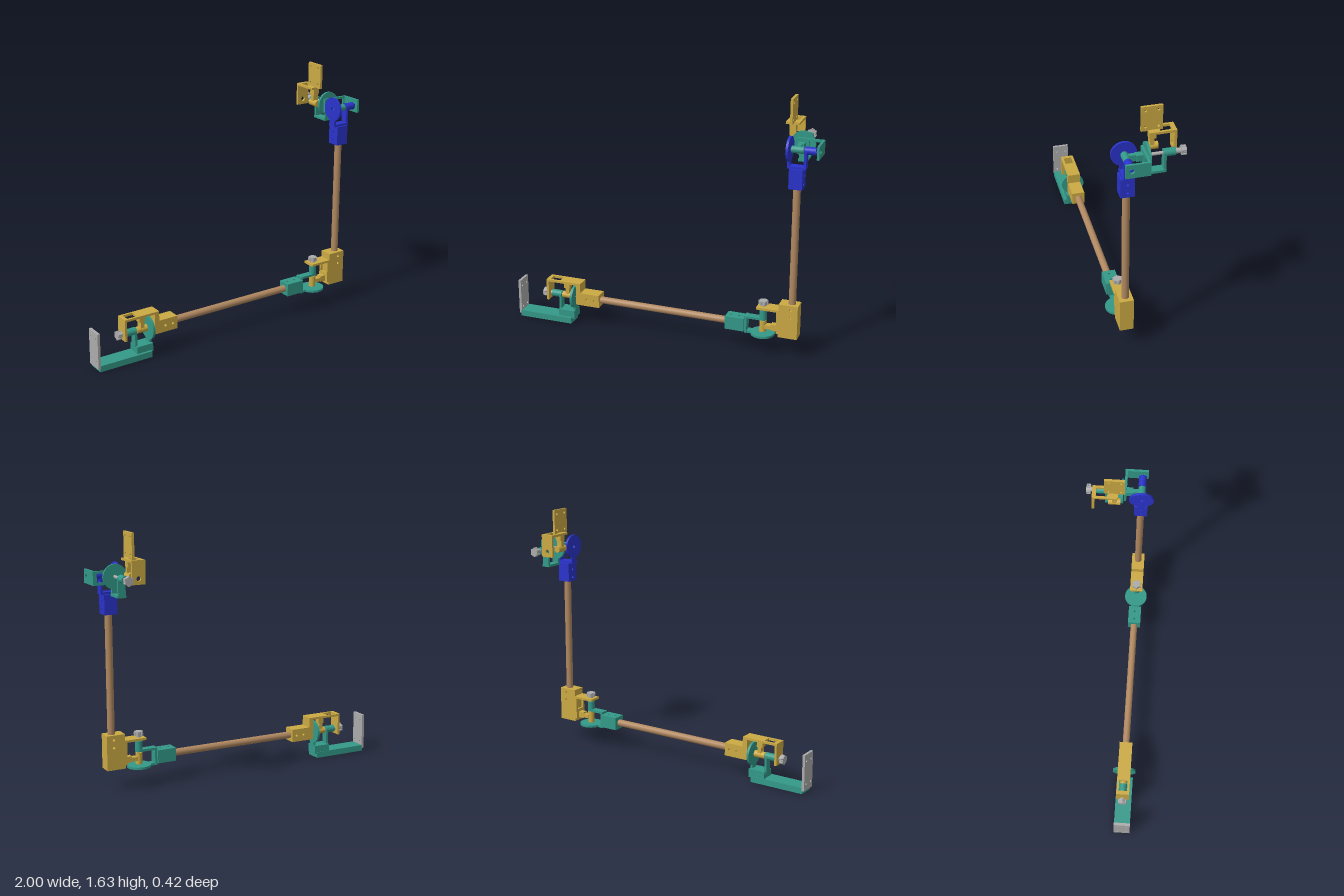
import * as THREE from 'three';

const mat = (name, color) => {
  const m = new THREE.MeshStandardMaterial({ color });
  m.name = name;
  return m;
};

export function createModel() {
  const yellow = mat('yellow', 0xccaa44), teal = mat('teal', 0x339988), blue = mat('blue', 0x2a33cc);
  const grey = mat('grey', 0xacacac), wood = mat('wood', 0xb08860);
  const model = new THREE.Group();
  model.name = 'jointedArm';

  const add = (parent, name, geo, material) => {
    const m = new THREE.Mesh(geo, material);
    m.name = name;
    parent.add(m);
    return m;
  };
  // Box from its minimum and maximum corners
  const box = (parent, name, material, [x0, y0, z0], [x1, y1, z1]) =>
    add(parent, name, new THREE.BoxGeometry(x1 - x0, y1 - y0, z1 - z0)
      .translate((x0 + x1) / 2, (y0 + y1) / 2, (z0 + z1) / 2), material);
  const cyl = (parent, name, material, r, y0, y1, sides = 32) =>
    add(parent, name, new THREE.CylinderGeometry(r, r, y1 - y0, sides).translate(0, (y0 + y1) / 2, 0), material);

  const rect = (x0, y0, x1, y1) => new THREE.Shape([[x0, y0], [x1, y0], [x1, y1], [x0, y1]].map(p => new THREE.Vector2(...p)));
  const drill = (shape, holes, r) => {
    holes.forEach(([x, y]) => shape.holes.push(new THREE.Path().absarc(x, y, r, 0, Math.PI * 2, true)));
    return shape;
  };
  const extrude = (shape, depth) => new THREE.ExtrudeGeometry(shape, { depth, bevelEnabled: false, curveSegments: 24 });
  // Flat outline in local x/z, extruded along the local joint axis y
  const slab = (parent, name, material, shape, y0, y1) =>
    add(parent, name, extrude(shape, y1 - y0).rotateX(-Math.PI / 2).translate(0, y0, 0), material);
  // Round end on the axis with a straight neck reaching x = 0.115
  const paddle = r => {
    const a = Math.asin(Math.min(1, 0.024 / r));
    const s = new THREE.Shape().absarc(0, 0, r, a, Math.PI * 2 - a, false);
    s.lineTo(0.115, -0.024);
    s.lineTo(0.115, 0.024);
    return s;
  };

  // Group whose x points along the arm and whose y is the joint axis
  const frame = (name, origin, dir, axis) => {
    const g = new THREE.Group(), x = new THREE.Vector3(...dir), y = new THREE.Vector3(...axis);
    g.name = name;
    g.applyMatrix4(new THREE.Matrix4().makeBasis(x, y, x.clone().cross(y)).setPosition(...origin));
    model.add(g);
    return g;
  };

  // Forked half of a joint: large disc, rounded ear and clamp tube
  const fork = (name, material, origin, dir, axis) => {
    const g = frame(name, origin, dir, axis);
    slab(g, 'jointDisc', material, drill(paddle(0.077), [[0, 0]], 0.012), 0, 0.015);
    slab(g, 'forkEar', material, drill(paddle(0.0245), [[0, 0]], 0.012), 0.1, 0.115);
    box(g, 'forkBack', material, [0.1, 0, -0.028], [0.115, 0.115, 0.028]);
    const ring = drill(new THREE.Shape().absarc(0, 0, 0.024, 0, Math.PI * 2, false), [[0, 0]], 0.012);
    slab(g, 'clampTube', material, ring, 0.112, 0.17);
  };

  // Inner half of a joint: slotted cage with a hinge barrel
  const cage = (name, material, origin, dir, axis, wallStart) => {
    const g = frame(name, origin, dir, axis);
    slab(g, 'outerPlate', material, drill(rect(-0.036, -0.043, 0.11, 0.043), [[0, 0]], 0.015), 0.18, 0.195);
    // Slotted wall, outline in y/z
    const wall = rect(wallStart, -0.043, 0.18, 0.043);
    wall.holes.push(rect(0.1, -0.028, 0.17, 0.028));
    const geo = extrude(wall, 0.015).applyMatrix4(new THREE.Matrix4().makeBasis(
      new THREE.Vector3(0, 1, 0), new THREE.Vector3(0, 0, 1), new THREE.Vector3(1, 0, 0)));
    add(g, 'slottedWall', geo.translate(0.095, 0, 0), material);
    box(g, 'hingeArm', material, [0.015, 0.045, -0.02], [0.096, 0.07, 0.02]);
    box(g, 'hingeFoot', material, [0.055, 0.04, -0.02], [0.096, 0.08, 0.02]);
    cyl(g, 'hingeBarrel', material, 0.022, 0.02, 0.095);
  };

  // Clamp screw with a lobed knob
  const screw = (name, origin, dir, axis) => {
    const g = frame(name, origin, dir, axis);
    cyl(g, 'screwShaft', grey, 0.01, -0.003, 0.2, 20);
    cyl(g, 'screwCollar', grey, 0.016, 0.172, 0.206, 20);
    cyl(g, 'knob', grey, 0.026, 0.203, 0.232, 24);
    for (let i = 0; i < 6; i++) {
      const a = i * Math.PI / 3;
      cyl(g, 'knobLobe', grey, 0.007, 0.205, 0.23, 12).position.set(Math.cos(a) * 0.025, 0, Math.sin(a) * 0.025);
    }
  };

  // Solid block drilled along z, then turned by a rotation and placed by its centre
  const drilled = (name, material, w, h, t, holes, r, pos, rot = [0, 0, 0]) => {
    const m = add(model, name, extrude(drill(rect(-w / 2, -h / 2, w / 2, h / 2), holes, r), t).translate(0, 0, -t / 2), material);
    m.position.set(...pos);
    m.rotation.set(...rot);
  };

  const zc = 0.132, q = Math.PI / 2;
  const corners = (x, y) => [[-x, -y], [x, -y], [x, y], [-x, y]];

  // Base bracket
  drilled('mountingPlate', grey, 0.108, 0.237, 0.017, corners(0.03, 0.075), 0.007, [-0.9915, 0.138, 0.139], [0, q, 0]);
  box(model, 'baseBar', teal, [-0.988, 0, 0.085], [-0.62, 0.04, 0.193]);
  box(model, 'basePedestal', teal, [-0.717, 0.03, 0.088], [-0.604, 0.085, 0.176]);

  // Base joint
  const j1 = [-0.605, 0.179, zc];
  fork('baseFork', teal, j1, [0, -1, 0], [-1, 0, 0]);
  cage('baseCage', yellow, j1, [0, 1, 0], [-1, 0, 0], -0.045);
  screw('baseScrew', j1, [0, 1, 0], [-1, 0, 0]);
  box(model, 'cageLeg', yellow, [-0.588, 0.138, zc - 0.043], [-0.556, 0.289, zc + 0.043]);
  drilled('lowerRodSocketStart', yellow, 0.133, 0.086, 0.086, [[-0.02, 0], [0.034, 0]], 0.008, [-0.4915, 0.181, zc]);

  // Lower rod
  const rod1 = cyl(model, 'lowerRod', wood, 0.023, -0.435, 0.435);
  rod1.rotation.z = -q;
  rod1.position.set(0.01, 0.18, zc);
  drilled('lowerRodSocketEnd', teal, 0.125, 0.086, 0.086, [[-0.032, 0], [0.024, 0]], 0.008, [0.5035, 0.18, zc], [-q, 0, 0]);

  // Elbow joint
  const j2 = [0.68, 0.123, zc];
  fork('elbowFork', teal, j2, [-1, 0, 0], [0, 1, 0]);
  cage('elbowCage', yellow, j2, [1, 0, 0], [0, 1, 0], 0.035);
  screw('elbowScrew', j2, [1, 0, 0], [0, 1, 0]);
  drilled('upperRodSocketStart', yellow, 0.122, 0.224, 0.086, [[0.014, 0.082], [0.014, 0.032]], 0.008, [0.85, 0.249, zc]);

  // Upper rod
  cyl(model, 'upperRod', wood, 0.023, 0.355, 1.13).position.set(0.865, 0, zc);
  drilled('upperRodSocketEnd', blue, 0.084, 0.124, 0.084, [[0, -0.034], [0, 0.02]], 0.008, [0.863, 1.184, zc], [0, q, 0]);

  // Wrist joint
  const j3 = [0.805, 1.361, zc + 0.002];
  fork('wristFork', blue, j3, [0, -1, 0], [1, 0, 0]);
  cage('wristCage', teal, j3, [0, 0, -1], [1, 0, 0], 0.015);

  // Head joint, with its cage set to one side of the fork
  fork('headFork', teal, [0.865, 1.366, 0.02], [0, -1, 0], [0, 0, -1]);
  screw('headScrew', [0.865, 1.366, 0.02], [0, 1, 0], [0, 0, -1]);
  cage('headCage', yellow, [0.788, 1.372, 0.025], [0, 1, 0], [0, 0, -1], 0.035);
  drilled('headPlate', yellow, 0.126, 0.158, 0.016, corners(0.038, 0.053), 0.008, [0.789, 1.556, -0.032], [0, q, 0]);

  return model;
}
